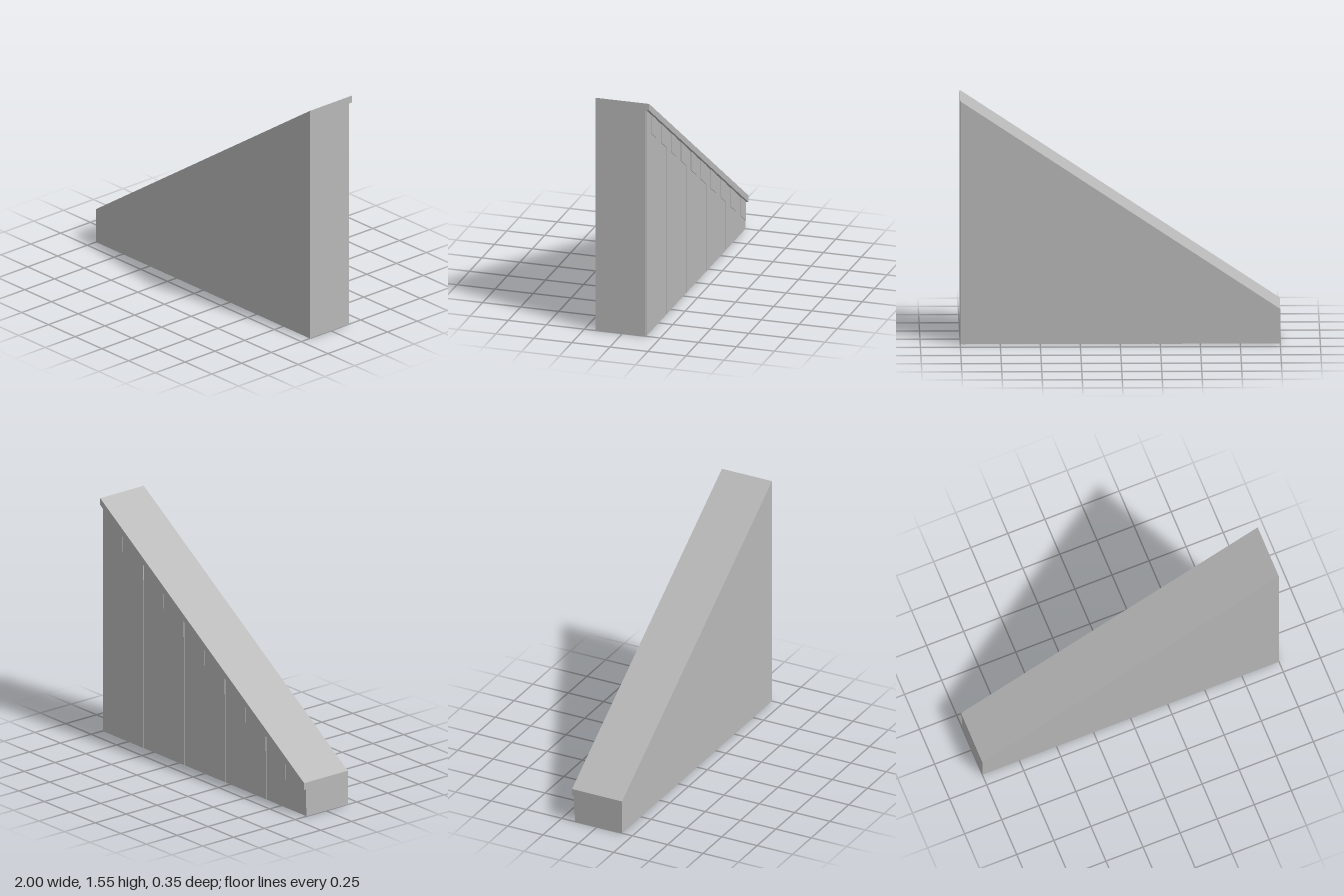
import * as THREE from 'three';

// Height of the sloping top edge at x
const topY = (x) => 0.89 + 0.665 * x;

export function createModel() {
  const group = new THREE.Group();
  const concrete = new THREE.MeshStandardMaterial({ color: 0xb8b8b8 });
  concrete.name = 'grey concrete';

  // Slab under the slope from x0 to x1; bottom is flat on the ground
  // unless a depth below the slope is given.
  function slab(name, x0, x1, z0, z1, drop, depth) {
    const low = (x) => (depth === undefined ? 0 : topY(x) - drop - depth);
    const shape = new THREE.Shape([
      new THREE.Vector2(x0, low(x0)),
      new THREE.Vector2(x1, low(x1)),
      new THREE.Vector2(x1, topY(x1) - drop),
      new THREE.Vector2(x0, topY(x0) - drop),
    ]);
    const geometry = new THREE.ExtrudeGeometry(shape, { depth: z1 - z0, bevelEnabled: false });
    geometry.translate(0, 0, z0);
    const mesh = new THREE.Mesh(geometry, concrete);
    mesh.name = name;
    group.add(mesh);
  }

  const front = 0.177, core = -0.153, face = -0.157, block = -0.161, lip = -0.177;
  const lipHeight = 0.045;

  slab('wallCore', -1, 1, core, front, 0);
  slab('copingLip', -1, 1, lip, core, 0, lipHeight);

  // Back panels separated by narrow vertical joints
  for (let i = 0; i < 5; i++) {
    const x = 0.6 - 0.4 * i;
    slab('backPanel', x, x + 0.39, face, core, lipHeight);
  }

  // Slanted blocks hanging under the lip
  for (let i = 0; i < 10; i++) {
    const x = 0.8 - 0.2 * i;
    slab('lipBlock', x, x + 0.105, block, face, lipHeight, 0.125);
  }
  return group;
}
